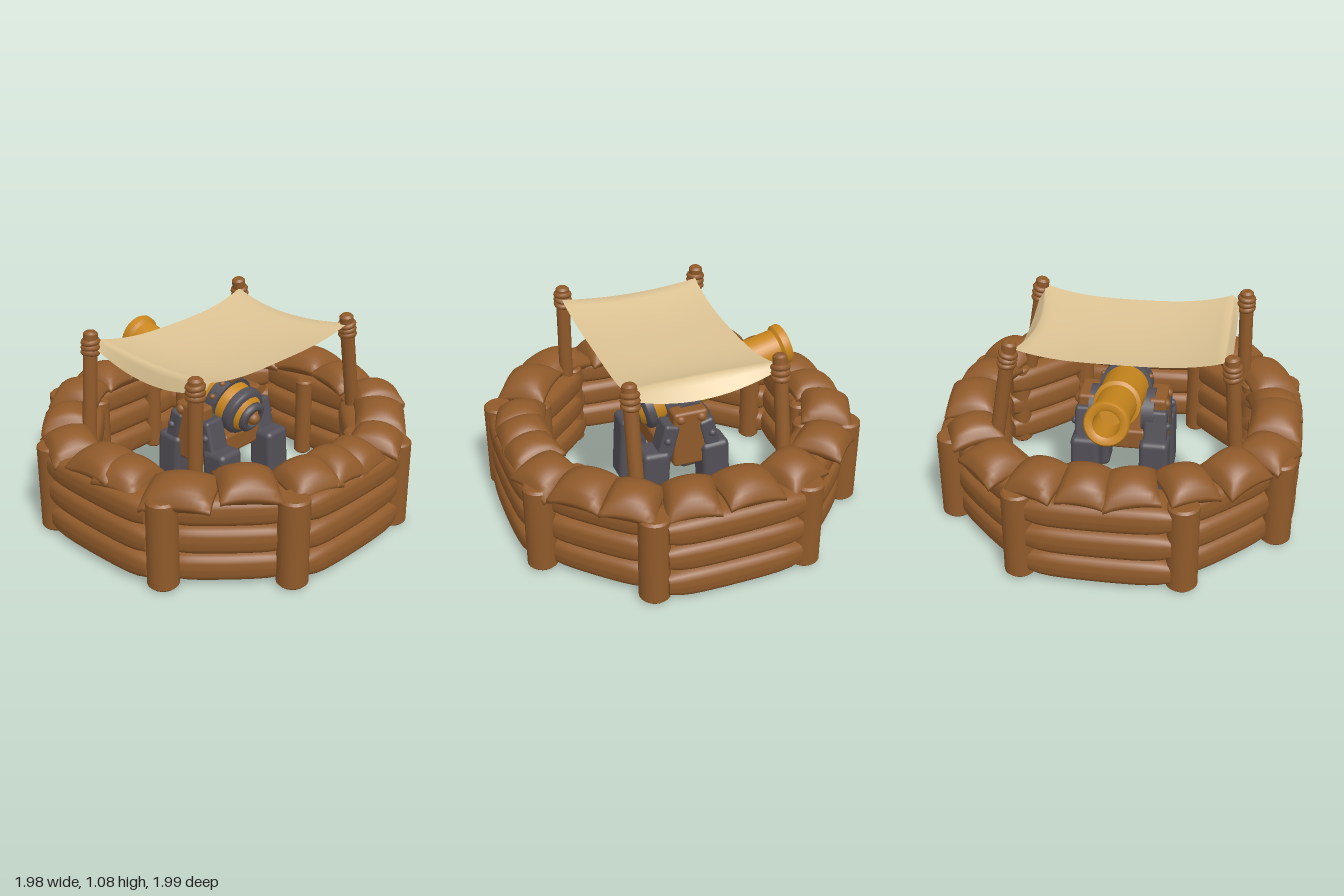
import * as THREE from 'three';
import { mergeVertices } from 'three/addons/utils/BufferGeometryUtils.js';
import { RoundedBoxGeometry } from 'three/addons/geometries/RoundedBoxGeometry.js';

const paint = (name, color, side = THREE.FrontSide) => {
  const m = new THREE.MeshStandardMaterial({ color, side });
  m.name = name;
  return m;
};

export function createModel() {
  const wood = paint('brown wood', 0x905a2a);
  const bronze = paint('bronze', 0xc9861c);
  const iron = paint('dark iron', 0x524f56);
  const canvas = paint('cream canvas', 0xdcc394, THREE.DoubleSide);
  const model = new THREE.Group();
  model.name = 'cannonEmplacement';

  let seed = 7;
  const jitter = (a) => {
    seed = (seed * 16807) % 2147483647;
    return (seed / 2147483647 - 0.5) * 2 * a;
  };
  const add = (parent, name, geo, mat, x = 0, y = 0, z = 0) => {
    const m = new THREE.Mesh(geo, mat);
    m.name = name;
    m.position.set(x, y, z);
    parent.add(m);
    return m;
  };
  const group = (name, parent = model) => {
    const g = new THREE.Group();
    g.name = name;
    parent.add(g);
    return g;
  };
  const box = (w, h, d, r = 0.02) => new RoundedBoxGeometry(w, h, d, 3, r);
  // Round post with a small bevel at both ends
  const post = (r, h) => new THREE.LatheGeometry([
    [0, 0], [r - 0.012, 0], [r - 0.012, 0], [r, 0.012], [r, 0.012], [r, h - 0.012], [r, h - 0.012],
    [r - 0.012, h], [r - 0.012, h], [0, h],
  ].map(([a, b]) => new THREE.Vector2(a, b)), 20);
  // Stuffed bag: a box puffed up in the middle, with its ends drooping over the wall
  const pillow = (w, h, d) => {
    const g = new THREE.BoxGeometry(2, 2, 2, 12, 2, 12);
    const p = g.attributes.position;
    for (let i = 0; i < p.count; i++) {
      const u = p.getX(i), v = p.getY(i), t = p.getZ(i);
      const puff = 0.16 + 0.84 * Math.pow((1 - u * u) * (1 - t * t), 0.45);
      const droop = -0.022 * (u * u + t * t);
      p.setXYZ(i, u * (1 - 0.03 * (1 - t * t)) * w / 2, v * puff * h / 2 + droop, t * (1 - 0.03 * (1 - u * u)) * d / 2);
    }
    g.deleteAttribute('uv');
    g.deleteAttribute('normal');
    const out = mergeVertices(g, 1e-4);
    out.computeVertexNormals();
    return out;
  };
  // Squarish log along x that thins towards both ends
  const logGeometry = (length) => {
    const g = new THREE.CylinderGeometry(1, 1, 2, 28, 12).rotateZ(Math.PI / 2);
    const p = g.attributes.position;
    const square = (c) => Math.sign(c) * Math.pow(Math.abs(c), 0.6);
    for (let i = 0; i < p.count; i++) {
      const u = p.getX(i), end = Math.pow(u, 6);
      p.setXYZ(i, u * length / 2, square(p.getY(i)) * 0.086 * (1 - 0.25 * end),
        square(p.getZ(i)) * 0.138 * (1 - 0.1 * u * u - 0.12 * end));
    }
    g.computeVertexNormals();
    return g;
  };

  // Eight wall panels, each of three stacked logs
  const wall = group('logWall');
  for (let i = 0; i < 8; i++) {
    const panel = group('wallPanel', wall);
    panel.rotation.y = i * Math.PI / 4;
    const diagonal = i % 2 === 1;
    const reach = diagonal ? 0.81 : i % 4 === 0 ? 0.852 : 0.84;
    for (let k = 0; k < 3; k++) {
      const log = add(panel, 'wallLog', logGeometry(diagonal ? 0.6 : 0.74), wood,
        0, 0.09 + k * 0.16, reach + jitter(0.006));
      log.rotation.z = jitter(0.012);
    }
  }
  // Corner posts outside and slimmer ones inside
  for (const sx of [-1, 1]) for (const sz of [-1, 1]) {
    for (const [x, z] of [[0.42, 0.88], [0.88, 0.42]]) add(wall, 'outerPost', post(0.083, 0.5), wood, sx * x, 0, sz * z);
    for (const [x, z] of [[0.37, 0.69], [0.655, 0.35]]) add(wall, 'innerPost', post(0.06, 0.5), wood, sx * x, 0, sz * z);
  }
  for (const [x, z] of [[0, -0.71], [0, 0.74], [-0.73, -0.14]]) add(wall, 'innerPost', post(0.05, 0.48), wood, x, 0, z);

  // Ring of sandbags: x, z, width along the wall
  const bags = group('sandbags');
  [[-0.09, -0.845, 0.32], [0.21, -0.825, 0.28], [0.48, -0.75, 0.28], [0.67, -0.56, 0.31], [0.81, -0.35, 0.27],
    [0.83, -0.1, 0.26], [0.83, 0.05, 0.24], [0.8, 0.24, 0.28], [0.67, 0.53, 0.31], [0.44, 0.77, 0.37],
    [0.13, 0.83, 0.27], [-0.04, 0.84, 0.33], [-0.34, 0.81, 0.29], [-0.57, 0.65, 0.28], [-0.74, 0.42, 0.27],
    [-0.82, 0.14, 0.29], [-0.835, -0.07, 0.27], [-0.81, -0.32, 0.28], [-0.66, -0.58, 0.29], [-0.38, -0.77, 0.27],
  ].forEach(([x, z, w], i) => {
    const low = x > 0.75 || z > 0.75 ? 0.018 : 0;
    const bag = add(bags, 'sandbag', pillow(w, 0.15, 0.28), wood, x, 0.542 - low + jitter(0.012), z);
    bag.rotation.set(0.1 + jitter(0.07), Math.atan2(x, z) + jitter(0.05), (i % 2 ? 0.1 : -0.09), 'YXZ');
  });
  const slumped = add(bags, 'slumpedSandbag', pillow(0.25, 0.1, 0.22), wood, 0.05, 0.49, 0.87);
  slumped.rotation.x = 0.2;

  // Leaning canopy poles with rope lashings
  for (const [x, z, baseX, baseZ, h] of [[-0.39, 0.6, -0.39, 0.68, 1.07], [0.415, 0.63, 0.415, 0.65, 1.06],
    [-0.39, -0.54, -0.4, -0.72, 1.07], [0.42, -0.535, 0.42, -0.71, 1.06]]) {
    const pole = group('canopyPole');
    const dir = new THREE.Vector3(x - baseX, h, z - baseZ);
    pole.position.set(baseX, 0, baseZ);
    pole.quaternion.setFromUnitVectors(new THREE.Vector3(0, 1, 0), dir.clone().normalize());
    add(pole, 'poleShaft', post(0.039, dir.length()), wood);
    [0.955, 0.985, 1.015].forEach((y, k) => {
      const rope = add(pole, 'ropeLashing', new THREE.TorusGeometry(0.036, 0.017, 8, 20), wood, 0, y, 0);
      rope.rotation.set(Math.PI / 2 + (k - 1) * 0.12, 0.06, 0);
    });
  }

  // Sagging canopy with a drooping hem at front and back
  const cloth = new THREE.PlaneGeometry(2, 2, 16, 28);
  const cp = cloth.attributes.position;
  for (let i = 0; i < cp.count; i++) {
    const u = cp.getX(i), row = Math.round((1 - cp.getY(i)) * 14);
    const t = THREE.MathUtils.clamp((row - 3) / 11 - 1, -1, 1);
    const hem = row < 3 ? 3 - row : row > 25 ? row - 25 : 0;
    const sag = 1 - u * u;
    const y = 0.957 + 0.06 * Math.pow(Math.abs(t), 3) - 0.03 * sag - hem * (0.014 + 0.017 * sag);
    const x = 0.035 + u * (0.405 - 0.015 * (1 - t * t));
    const z = t > 0 ? 0.555 * t + hem * 0.012 : t * (0.53 - 0.06 * sag) - hem * (0.007 + 0.02 * sag);
    cp.setXYZ(i, x, y, z);
  }
  cloth.computeVertexNormals();
  add(model, 'canopyCloth', cloth, canvas);

  // Barrel: local y runs from the muzzle back to the breech
  const cannon = group('cannonBarrel');
  cannon.position.set(-0.695, 0.805, 0.005);
  cannon.rotation.z = -Math.PI / 2 - 0.262;
  const turned = (name, pts, mat) => add(cannon, name,
    new THREE.LatheGeometry(pts.map(([r, s]) => new THREE.Vector2(r, s)), 32), mat);
  turned('barrelBody', [[0, 0.22], [0.066, 0.22], [0.066, 0.22], [0.07, 0.01], [0.07, 0.01], [0.085, 0], [0.108, 0],
    [0.108, 0], [0.116, 0.01], [0.116, 0.045], [0.116, 0.045], [0.1, 0.062], [0.1, 0.062], [0.106, 0.38], [0.106, 0.38],
    [0.126, 0.388], [0.126, 0.388], [0.126, 0.425], [0.126, 0.425], [0.117, 0.435], [0.117, 0.435], [0.13, 0.75],
    [0.124, 0.88], [0.09, 0.93], [0.045, 0.95], [0, 0.955]], bronze);
  turned('breechBand', [[0.1, 0.85], [0.136, 0.85], [0.136, 0.85], [0.138, 0.86], [0.138, 0.89], [0.138, 0.89],
    [0.128, 0.905], [0.1, 0.91]], iron);
  turned('breechCap', [[0.07, 0.93], [0.088, 0.935], [0.088, 0.955], [0.07, 0.967], [0.05, 0.967], [0.05, 0.945]], iron);
  add(cannon, 'breechKnob', new THREE.SphereGeometry(0.036, 16, 12), wood, 0, 0.96, 0);
  // Strap over the barrel with studs
  turned('barrelStrap', [[0.12, 0.72], [0.148, 0.72], [0.148, 0.72], [0.148, 0.79], [0.148, 0.79], [0.12, 0.79]], iron);
  for (const a of [-1.1, -0.5, 0, 0.5, 1.1]) {
    add(cannon, 'strapStud', new THREE.SphereGeometry(0.017, 10, 8), wood, -0.148 * Math.cos(a), 0.755, 0.148 * Math.sin(a));
  }
  add(cannon, 'strapBlock', box(0.035, 0.07, 0.09, 0.01), wood, -0.158, 0.755, 0);

  // Carriage: timber cheeks, iron brackets and four stout legs
  const carriage = group('carriage');
  add(carriage, 'carriageBed', box(0.34, 0.12, 0.28), wood, -0.02, 0.4, 0);
  const axle = add(carriage, 'trunnion', new THREE.CylinderGeometry(0.05, 0.05, 0.46, 20), iron, 0, 0.57, 0);
  axle.rotation.x = Math.PI / 2;
  for (const s of [-1, 1]) {
    add(carriage, 'cheek', box(0.2, 0.34, 0.1), wood, -0.03, 0.46, s * 0.195);
    const cap = add(carriage, 'cheekCap', new THREE.CylinderGeometry(0.125, 0.125, 0.07, 28), iron, -0.05, 0.52, s * 0.145);
    cap.rotation.x = Math.PI / 2;
    for (const x of [-0.09, 0.03]) {
      add(carriage, 'cheekBolt', new THREE.SphereGeometry(0.028, 12, 8), wood, x, 0.59, s * 0.238);
    }
    for (const e of [-1, 1]) {
      const bracket = add(carriage, 'sideBracket', box(0.09, 0.32, 0.13), iron, e * 0.135 - 0.02, 0.41, s * 0.19);
      bracket.rotation.z = e * 0.25;
      add(carriage, 'bracketBolt', new THREE.SphereGeometry(0.022, 10, 8), iron, e * 0.13 - 0.02, 0.48, s * 0.255);
      const leg = group('leg', carriage);
      leg.position.set(e * 0.19, 0.015, s * 0.19);
      leg.rotation.z = e * 0.05;
      add(leg, 'legBeam', box(0.16, 0.4, 0.16, 0.03), iron, 0, 0.2, 0);
      add(leg, 'footPad', new THREE.BoxGeometry(0.105, 0.009, 0.105), wood, 0, -0.003, 0);
    }
  }
  return model;
}
